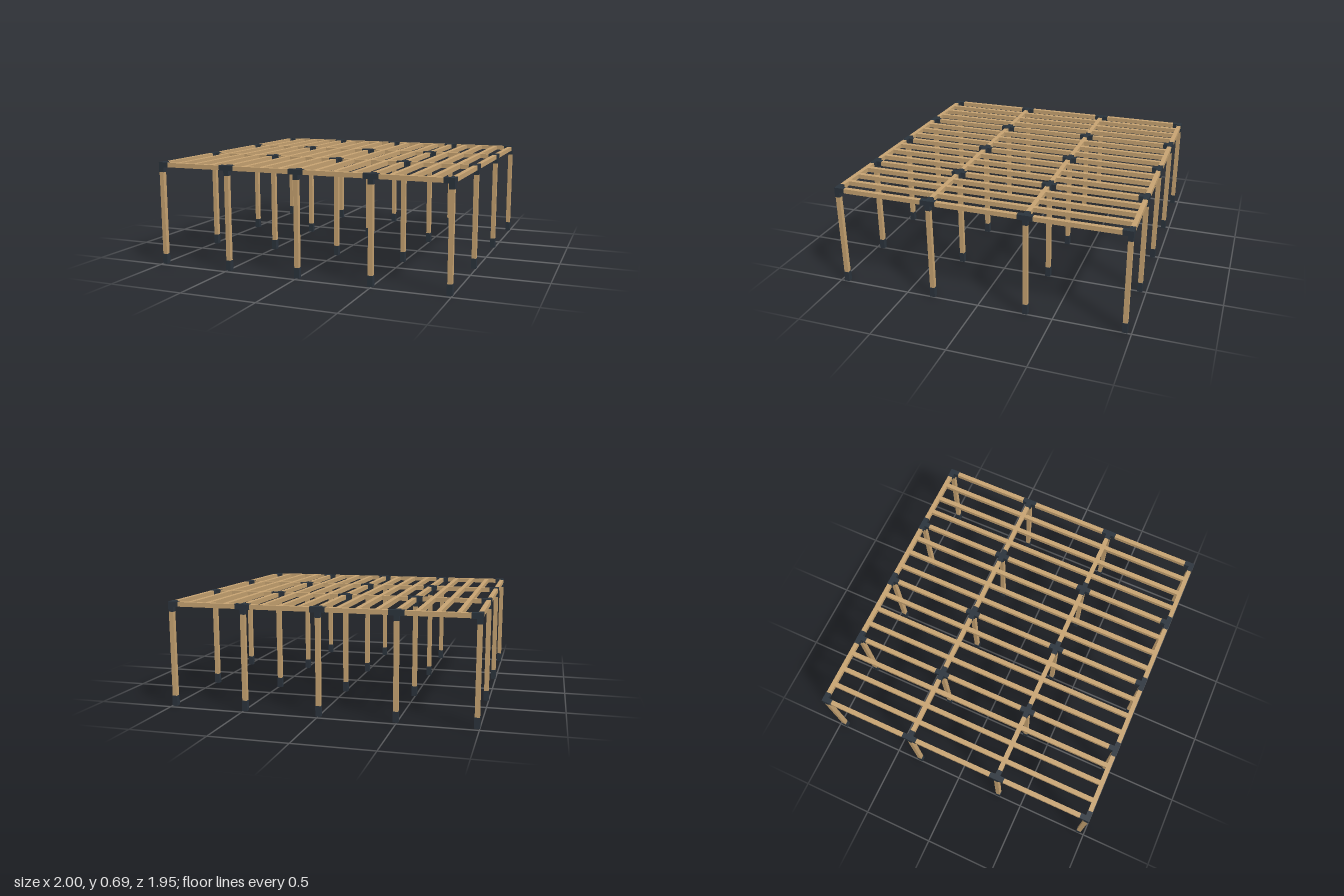
import * as THREE from 'three';

export function createModel() {
  const model = new THREE.Group();
  model.name = 'pergola';
  const wood = new THREE.MeshStandardMaterial({ color: 0xc8a472 });
  wood.name = 'timber';
  const metal = new THREE.MeshStandardMaterial({ color: 0x2b343d });
  metal.name = 'dark metal';

  const T = 0.030;      // timber thickness
  const B = 0.034;      // bracket thickness
  const ARM = 0.0495;   // bracket reach from the joint centre
  const BASE = 0.068;   // post foot height
  const Y = 0.674;      // centre height of the roof frame
  const xs = [-2, -1, 0, 1, 2].map(i => i * 0.4915);
  const zs = [-1.5, -0.5, 0.5, 1.5].map(i => i * 0.638);

  const box = (parent, name, material, size, pos) => {
    const mesh = new THREE.Mesh(new THREE.BoxGeometry(...size), material);
    mesh.name = name;
    mesh.position.set(...pos);
    parent.add(mesh);
  };
  const group = name => {
    const g = new THREE.Group();
    g.name = name;
    model.add(g);
    return g;
  };
  const posts = group('posts');
  const feet = group('postFeet');
  const brackets = group('cornerBrackets');
  const beams = group('beams');
  const rafters = group('rafters');

  // Posts with metal feet and multi-way brackets at each grid joint
  const reach = ARM - B / 2;
  const off = B / 2 + reach / 2;
  xs.forEach((x, i) => zs.forEach((z, j) => {
    const postTop = Y - ARM;
    box(posts, 'post', wood, [T, postTop - BASE, T], [x, (postTop + BASE) / 2, z]);
    box(feet, 'postFoot', metal, [B, BASE, B], [x, BASE / 2, z]);

    box(brackets, 'bracketHub', metal, [B, B, B], [x, Y, z]);
    box(brackets, 'bracketPostSleeve', metal, [B, reach, B], [x, Y - off, z]);
    for (const s of [-1, 1]) {
      if (xs[i + s] !== undefined)
        box(brackets, 'bracketSideArm', metal, [reach, B, B], [x + s * off, Y, z]);
      if (zs[j + s] !== undefined)
        box(brackets, 'bracketDepthArm', metal, [B, B, reach], [x, Y, z + s * off]);
    }
  }));

  // Beams across the width, one per bay
  const bayX = xs[1] - xs[0];
  const bayZ = zs[1] - zs[0];
  for (const z of zs)
    for (let i = 0; i < xs.length - 1; i++)
      box(beams, 'crossBeam', wood, [bayX - 2 * ARM, T, T], [xs[i] + bayX / 2, Y, z]);

  // Beams along the depth, and three rafters between each pair of them
  for (let j = 0; j < zs.length - 1; j++) {
    const z = zs[j] + bayZ / 2;
    xs.forEach((x, i) => {
      box(beams, 'depthBeam', wood, [T, T, bayZ - 2 * ARM], [x, Y, z]);
      if (i === xs.length - 1) return;
      for (let k = 1; k <= 3; k++)
        box(rafters, 'rafter', wood, [T, T, bayZ - T], [x + bayX * k / 4, Y, z]);
    });
  }
  return model;
}
